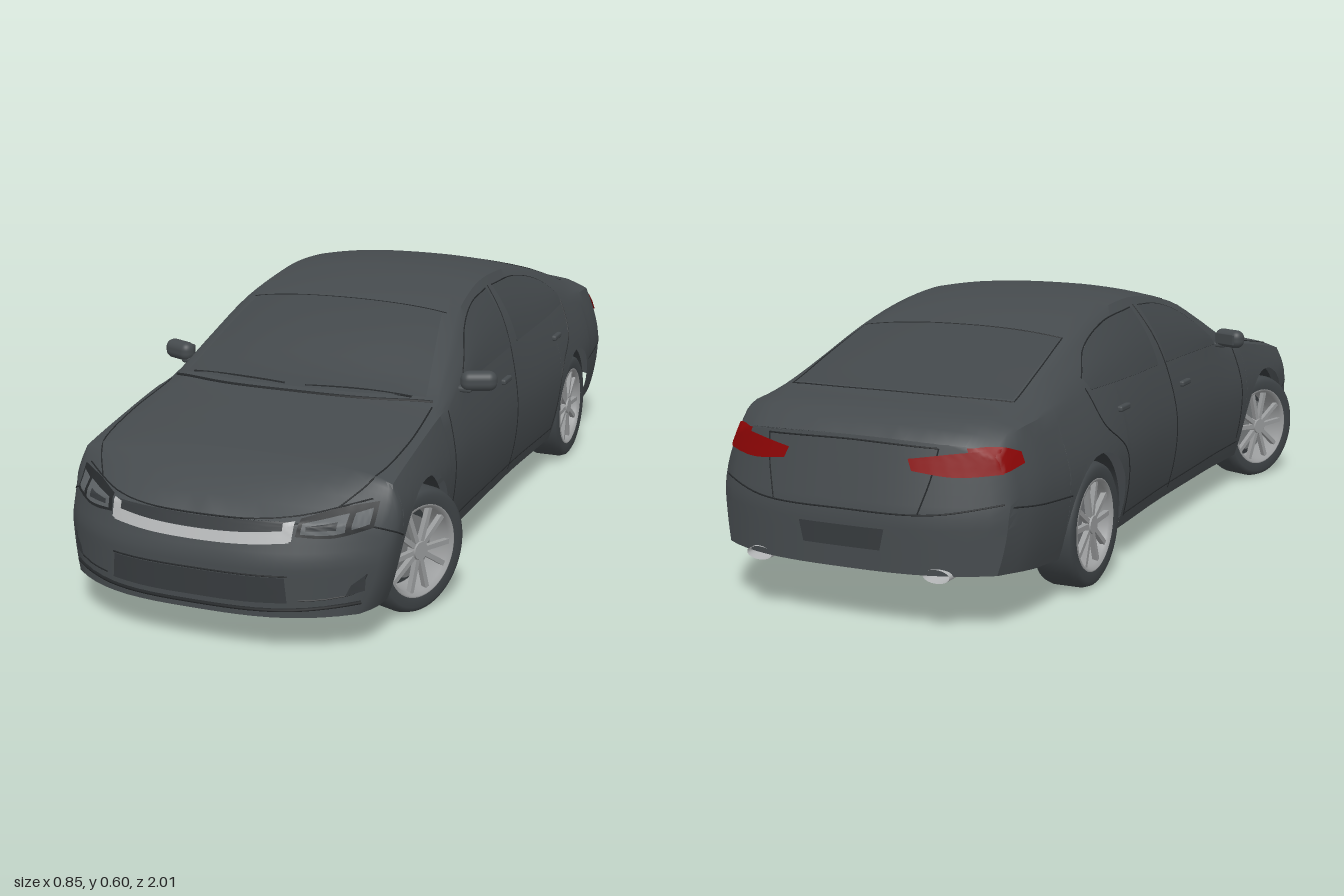
import * as THREE from 'three';
import { mergeGeometries, toCreasedNormals } from 'three/addons/utils/BufferGeometryUtils.js';
import { RoundedBoxGeometry } from 'three/addons/geometries/RoundedBoxGeometry.js';

const paint = (name, color) => new THREE.MeshStandardMaterial({ name, color, side: THREE.DoubleSide });
const M = {
  body: paint('body paint', 0x454a4d), glass: paint('dark glass', 0x42474a), tyre: paint('tyre rubber', 0x3f4447),
  seam: paint('seam black', 0x25282a), under: paint('underbody', 0x363a3d), rim: paint('rim silver', 0x9a9c9d),
  chrome: paint('chrome', 0xb4b6b7), metal: paint('exhaust metal', 0x76797b), red: paint('tail lamp red', 0x8a0505),
  lamp: paint('lamp grey', 0x5b6063),
};

// Body keys: z, widest half-width, shoulder y, shoulder x, roof rail y, roof rail x, centre y
const KEYS = [
  [1, .36, .255, .355, .275, .30, .285], [.95, .375, .28, .365, .30, .30, .318], [.9, .38, .305, .365, .325, .30, .342],
  [.8, .382, .335, .36, .35, .31, .37], [.65, .382, .365, .355, .378, .32, .395], [.5, .378, .39, .35, .40, .325, .42],
  [.43, .375, .395, .347, .418, .32, .44], [.3, .37, .405, .345, .48, .30, .515], [.17, .37, .41, .345, .54, .275, .568],
  [0, .37, .413, .345, .575, .258, .597], [-.12, .372, .415, .345, .582, .255, .603], [-.3, .38, .42, .348, .567, .255, .588],
  [-.45, .385, .425, .345, .535, .262, .553], [-.6, .382, .425, .335, .49, .27, .507], [-.77, .37, .415, .33, .437, .275, .452],
  [-.9, .36, .405, .32, .425, .26, .437], [-.95, .35, .39, .315, .41, .255, .422], [-1, .34, .36, .31, .385, .25, .395],
];
const SILL = [[1, .085], [.8, .08], [.47, .085], [-.38, .09], [-.69, .10], [-1, .125]];
const FRONT = .64, REAR = -.535, ARCH = .155, AXLE_Y = .14;
const { lerp, clamp } = THREE.MathUtils;

function sample(keys, z, c, smooth) {
  let i = 0;
  while (i < keys.length - 2 && z < keys[i + 1][0]) i++;
  const k = n => keys[clamp(n, 0, keys.length - 1)], a = k(i), b = k(i + 1);
  const h = b[0] - a[0], t = (z - a[0]) / h;
  if (!smooth) return lerp(a[c], b[c], t);
  const slope = n => (k(n + 1)[c] - k(n - 1)[c]) / (k(n + 1)[0] - k(n - 1)[0]);
  return (2 * t ** 3 - 3 * t * t + 1) * a[c] + (t ** 3 - 2 * t * t + t) * h * slope(i)
    + (3 * t * t - 2 * t ** 3) * b[c] + (t ** 3 - t * t) * h * slope(i + 1);
}

// Bow the ends in plan and lean them back above the bumpers
function warp(x, y, z) {
  const f = clamp((z - .8) / .2, 0, 1), r = clamp((-z - .8) / .2, 0, 1), q = (Math.abs(x) / .38) ** 3;
  return [x, y, z - f * (.15 * q + .35 * Math.max(0, y - .2)) + r * (.12 * q + .25 * Math.max(0, y - .24))];
}

// Half section from the bottom edge to the roof centre
function halfSection(z) {
  const [W, ys, ws, yr, wr, yt] = [1, 2, 3, 4, 5, 6].map(c => sample(KEYS, z, c, true));
  let yb = sample(SILL, z, 1);
  for (const c of [FRONT, REAR]) {
    const d = Math.abs(z - c);
    if (d < ARCH) yb = AXLE_Y + .007 + Math.sqrt(ARCH * ARCH - d * d);
  }
  const pts = [], yw = Math.min(.27, ys - .03);
  for (let i = 0; i <= 10; i++) {
    const y = lerp(yb, ys, i / 10);
    const x = y < yw ? W - .035 * ((yw - y) / (yw - .08)) ** 2 : lerp(W, ws, ((y - yw) / (ys - yw)) ** 1.6);
    pts.push([x, y]);
  }
  for (let i = 1; i <= 6; i++) {
    const t = i / 6;
    pts.push([lerp(ws, wr, t) + .012 * Math.sin(Math.PI * t) * clamp((yr - ys) / .1, 0, 1), lerp(ys, yr, t)]);
  }
  for (let i = 1; i <= 8; i++) {
    const s = 1 - i / 8;
    pts.push([wr * s, lerp(yt, yr, s ** 2.4)]);
  }
  return pts;
}

function gridGeometry(rows, flip = false) {
  const n = rows[0].length, idx = [], g = new THREE.BufferGeometry();
  for (let i = 0; i < rows.length - 1; i++) for (let j = 0; j < n - 1; j++) {
    const a = i * n + j, b = a + 1, c = a + n, d = c + 1;
    idx.push(...(flip ? [a, c, b, b, c, d] : [a, b, c, b, d, c]));
  }
  g.setAttribute('position', new THREE.Float32BufferAttribute(rows.flat(2), 3));
  g.setIndex(idx);
  g.computeVertexNormals();
  return g;
}

function bodyGeometry() {
  const zs = [];
  for (let i = 0; i <= 50; i++) zs.push(1 - i / 25);
  for (const c of [FRONT, REAR]) {
    zs.push(c + ARCH + .0005, c - ARCH - .0005);
    for (let i = 0; i <= 16; i++) zs.push(c + (ARCH - .0001) * Math.cos(Math.PI * i / 16));
  }
  zs.sort((a, b) => b - a);
  const shell = zs.map(z => {
    const h = halfSection(z);
    return [...h.map(([x, y]) => warp(-x, y, z)), ...h.slice(0, -1).reverse().map(([x, y]) => warp(x, y, z))];
  });
  const cap = z => halfSection(z).map(([x, y]) => Array.from({ length: 21 }, (_, k) => warp(x * (k / 10 - 1), y, z)));
  return toCreasedNormals(mergeGeometries([gridGeometry(shell), gridGeometry(cap(1)), gridGeometry(cap(-1), true)]), .7);
}

export function createModel() {
  const car = new THREE.Group();
  const add = (name, geo, mat, parent = car) => {
    const m = new THREE.Mesh(geo, mat);
    m.name = name;
    parent.add(m);
    return m;
  };
  const body = add('bodyShell', bodyGeometry(), M.body);
  body.updateMatrixWorld();

  // Drop a 2D point onto the body: x takes (z,y), y takes (x,z), z takes (x,y)
  const ray = new THREE.Raycaster();
  const project = (axis, sign, a, b, off) => {
    const o = axis === 'x' ? [0, b, a] : axis === 'y' ? [a, 0, b] : [a, b, 0];
    const p = new THREE.Vector3(...o), dir = new THREE.Vector3();
    p[axis] = sign * 3;
    dir[axis] = -sign;
    ray.set(p, dir);
    const hit = ray.intersectObject(body)[0];
    if (!hit) return null;
    hit.point[axis] += sign * off;
    return hit.point;
  };
  const curve2 = pts => new THREE.CatmullRomCurve3(pts.map(([a, b]) => new THREE.Vector3(a, b, 0)), false, 'centripetal');
  const seam = (name, axis, sign, pts, r = .0018, mat = M.seam) => {
    const on = curve2(pts).getPoints(20).map(p => project(axis, sign, p.x, p.y, 0)).filter(Boolean);
    if (on.length > 2) add(name, new THREE.TubeGeometry(new THREE.CatmullRomCurve3(on), 30, r, 5), mat);
  };
  const patch = (name, axis, sign, low, high, mat, off = .003, n = 18, m = 8) => {
    const A = curve2(low), B = curve2(high), rows = [];
    let last = new THREE.Vector3();
    for (let i = 0; i <= m; i++) rows.push(Array.from({ length: n + 1 }, (_, k) => {
      const p = A.getPoint(k / n).lerp(B.getPoint(k / n), i / m);
      last = project(axis, sign, p.x, p.y, off) || last;
      return last.toArray();
    }));
    add(name, gridGeometry(rows), mat);
  };
  const flipX = (pts, s) => pts.map(([x, y]) => [x * s, y]);
  const both = half => [...half.map(([x, b]) => [-x, b]), ...half.slice(0, -1).reverse()];

  // Windscreen, rear window, bonnet and boot lines
  patch('windscreen', 'y', 1, both([[.3, .44], [.16, .475], [0, .485]]), both([[.24, .17], [.12, .178], [0, .18]]), M.glass, .002);
  patch('rearWindow', 'y', 1, both([[.25, -.46], [.1, -.46], [0, -.46]]), both([[.265, -.74], [.13, -.765], [0, -.77]]), M.glass, .002);
  seam('windscreenTopSeam', 'y', 1, both([[.25, .165], [.1, .175], [0, .176]]));
  seam('rearWindowTopSeam', 'y', 1, both([[.25, -.455], [.1, -.455], [0, -.455]]));
  seam('rearWindowBaseSeam', 'y', 1, both([[.27, -.745], [.13, -.77], [0, -.775]]));
  seam('windscreenBaseSeam', 'y', 1, both([[.32, .45], [.16, .495], [0, .505]]), .004);
  seam('bonnetFrontSeam', 'z', 1, both([[.33, .312], [.2, .29], [0, .282]]));
  for (const s of [1, -1]) {
    seam('bonnetSideSeam', 'y', 1, flipX([[.325, .47], [.335, .65], [.32, .8], [.27, .89]], s));
    seam('rearWindowSideSeam', 'y', 1, flipX([[.25, -.455], [.262, -.6], [.27, -.745]], s));
    seam('wiper', 'y', 1, s > 0 ? [[.27, .45], [.15, .46], [.02, .475]] : [[-.03, .475], [-.15, .46], [-.28, .44]], .004);
  }

  // Front face: grille, chrome bar, intakes and lamps
  patch('upperGrille', 'z', 1, both([[.19, .262], [.1, .258], [0, .256]]), both([[.2, .283], [.1, .282], [0, .28]]), M.under, .003);
  patch('grilleBar', 'z', 1, both([[.2, .243], [.1, .236], [0, .234]]), both([[.205, .268], [.1, .259], [0, .256]]), M.chrome, .006);
  patch('lowerIntake', 'z', 1, both([[.2, .118], [.1, .116], [0, .116]]), both([[.195, .172], [.1, .172], [0, .172]]), M.under, .003);
  seam('intakeTop', 'z', 1, both([[.2, .174], [.1, .174], [0, .174]]));
  seam('bumperLip', 'z', 1, both([[.33, .11], [.2, .102], [0, .1]]), .004);
  for (const s of [1, -1]) {
    patch('grilleBarEnd', 'z', 1, flipX([[.185, .243], [.205, .247]], s), flipX([[.185, .282], [.207, .285]], s), M.chrome, .007);
    patch('headlight', 'z', 1, flipX([[.21, .255], [.28, .25], [.345, .262]], s), flipX([[.215, .288], [.28, .302], [.345, .308]], s), M.seam, .004);
    patch('headlightLens', 'z', 1, flipX([[.22, .26], [.28, .257], [.3, .26]], s), flipX([[.222, .281], [.28, .29], [.3, .293]], s), M.lamp, .007);
    patch('headlightBulb', 'z', 1, flipX([[.23, .267], [.285, .266]], s), flipX([[.23, .276], [.285, .281]], s), M.under, .009);
    patch('cornerLamp', 'z', 1, flipX([[.31, .264], [.338, .27]], s), flipX([[.31, .292], [.338, .298]], s), M.lamp, .007);
    patch('fogRecess', 'z', 1, flipX([[.305, .128], [.338, .135]], s), flipX([[.315, .15], [.338, .168]], s), M.under, .003);
    seam('fogTrim', 'z', 1, flipX([[.34, .17], [.325, .135], [.28, .125], [.22, .122]], s));
  }

  // Rear face: tail lamps, bumper line and plate recess
  seam('rearBumperSeam', 'z', -1, both([[.33, .27], [.2, .25], [0, .248]]));
  seam('bootLid', 'z', -1, both([[.2, .38], [.1, .384], [0, .386]]));
  patch('plateRecess', 'z', -1, both([[.09, .17], [0, .17]]), both([[.1, .215], [0, .215]]), M.under);
  for (const s of [1, -1]) {
    patch('tailLamp', 'z', -1, flipX([[.15, .335], [.24, .325], [.325, .33]], s), flipX([[.14, .358], [.24, .372], [.318, .378]], s), M.red, .004, 24);
    seam('bootSideSeam', 'z', -1, flipX([[.2, .38], [.19, .32], [.17, .25]], s));
    const tip = add('tailpipe', new THREE.CylinderGeometry(.018, .018, .08, 20, 1, true).rotateX(Math.PI / 2).scale(1.7, .8, 1), M.chrome);
    tip.position.set(.21 * s, .125, -.945);
  }

  // Doors, side windows, handles and mirrors
  for (const s of [1, -1]) {
    patch('tailLampSide', 'x', s, [[-.85, .345], [-.9, .333], [-.935, .33]], [[-.85, .368], [-.89, .382], [-.93, .382]], M.red, .004);
    const front = [[.3, .418], [.12, .422], [-.045, .425]], frontTop = [[.29, .44], [.17, .515], [.06, .55], [-.06, .562]];
    const rear = [[-.1, .426], [-.3, .43], [-.5, .435]], rearTop = [[-.105, .562], [-.28, .55], [-.44, .508], [-.515, .46]];
    patch('frontSideWindow', 'x', s, front, frontTop, M.glass);
    patch('rearSideWindow', 'x', s, rear, rearTop, M.glass);
    [front, frontTop, rear, rearTop].forEach(p => seam('windowFrame', 'x', s, p));
    seam('quarterLightPost', 'x', s, [[-.43, .433], [-.435, .47], [-.42, .515]]);
    seam('frontDoorSeam', 'x', s, [[.45, .14], [.445, .3], [.43, .39]]);
    seam('middleDoorSeam', 'x', s, [[-.035, .11], [-.035, .3], [-.05, .42], [-.082, .565]]);
    seam('rearDoorSeam', 'x', s, [[-.36, .12], [-.39, .28], [-.49, .36], [-.52, .44]]);
    seam('sillSeam', 'x', s, [[.46, .128], [.1, .124], [-.36, .124]]);
    seam('bumperSideSeam', 'x', s, [[-.68, .24], [-.8, .25], [-.9, .262]]);
    seam('noseSideSeam', 'x', s, [[.79, .225], [.84, .25], [.87, .265]]);
    for (const [z, y] of [[.04, .362], [-.375, .375]]) {
      const p = project('x', s, z, y, .004);
      add('doorHandle', new RoundedBoxGeometry(.014, .014, .055, 2, .005), M.body).position.copy(p);
    }
    const mirror = add('wingMirror', new RoundedBoxGeometry(.084, .046, .04, 4, .019), M.body);
    mirror.position.set(.382 * s, .433, .315);
    mirror.rotation.y = .4 * s;
    const glass = add('mirrorGlass', new RoundedBoxGeometry(.062, .03, .006, 2, .003), M.glass, mirror);
    glass.position.z = -.019;
    const stalk = add('mirrorStalk', new RoundedBoxGeometry(.05, .014, .026, 2, .006), M.body);
    stalk.position.set(.345 * s, .414, .325);
  }

  // Wheels, with the front pair steered
  const lathe = pts => new THREE.LatheGeometry(pts.map(([r, y]) => new THREE.Vector2(r, y)), 48);
  const tyreGeo = toCreasedNormals(lathe([[.102, -.046], [.125, -.05], [.135, -.044], [.14, -.03], [.14, .03], [.135, .044], [.125, .05], [.102, .046]]), .8);
  const rimGeo = lathe([[.092, -.045], [.088, 0], [.094, .038], [.1, .048], [.105, .046]]);
  const spokeGeo = new THREE.BoxGeometry(.082, .012, .011).translate(.055, 0, 0);
  for (const z of [FRONT, REAR]) for (const s of [1, -1]) {
    const wheel = new THREE.Group(), hub = new THREE.Group();
    wheel.name = z > 0 ? 'frontWheel' : 'rearWheel';
    wheel.position.set((z > 0 ? .33 : .32) * s, AXLE_Y, z);
    wheel.rotation.y = z > 0 ? -.38 : 0;
    hub.rotation.z = -s * Math.PI / 2;
    wheel.add(hub);
    car.add(wheel);
    add('tyre', tyreGeo, M.tyre, hub);
    add('rim', rimGeo, M.rim, hub);
    add('brakeDisc', new THREE.CylinderGeometry(.07, .07, .01, 32), M.metal, hub);
    add('wheelBack', new THREE.CylinderGeometry(.09, .09, .006, 32), M.under, hub).position.y = -.02;
    add('hubCap', new THREE.CylinderGeometry(.02, .024, .02, 20), M.rim, hub).position.y = .034;
    for (let i = 0; i < 10; i++) {
      const spoke = add('spoke', spokeGeo, M.rim, hub);
      spoke.position.y = .034;
      spoke.rotation.y = (Math.floor(i / 2) + (i % 2 ? .21 : -.21)) * Math.PI * 2 / 5;
    }
    // Arch liner and its inner wall
    const liner = new THREE.CylinderGeometry(ARCH, ARCH, .14, 24, 1, true, 0, Math.PI).rotateZ(Math.PI / 2);
    add('archLiner', liner, M.under).position.set(.29 * s, AXLE_Y + .006, z);
    const wall = add('archWall', new THREE.CircleGeometry(ARCH, 24, 0, Math.PI), M.under);
    wall.position.set(.22 * s, AXLE_Y + .006, z);
    wall.rotation.y = Math.PI / 2;
  }

  // Floor pan, cut away at the wheels and rising at the tail
  const edge = [[.2, .95], [.3, .87], [.33, .796], [.22, .796], [.22, .484], [.335, .484], [.335, -.379],
    [.22, -.379], [.22, -.691], [.33, -.691], [.29, -.88], [.2, -.94]];
  const outline = [...edge, ...edge.map(([x, z]) => [-x, z]).reverse()].map(p => new THREE.Vector2(...p));
  const floor = new THREE.ExtrudeGeometry(new THREE.Shape(outline), { depth: .008, bevelEnabled: false }).rotateX(Math.PI / 2);
  const fp = floor.attributes.position;
  for (let i = 0; i < fp.count; i++) fp.setY(i, fp.getY(i) + .102 + Math.max(0, -fp.getZ(i) - .69) * .1);
  floor.computeVertexNormals();
  add('floorPan', floor, M.under);

  // Axles and exhaust
  for (const z of [FRONT, REAR]) {
    add('axle', new THREE.CylinderGeometry(.014, .014, .58, 12).rotateZ(Math.PI / 2), M.metal).position.set(0, AXLE_Y - .02, z);
    add('subframe', new RoundedBoxGeometry(.3, .03, .07, 2, .01), M.metal).position.set(0, .103, z);
  }
  const pipe = pts => new THREE.TubeGeometry(new THREE.CatmullRomCurve3(pts.map(p => new THREE.Vector3(...p))), 40, .011, 10);
  for (const s of [1, -1]) {
    add('exhaustPipe', pipe([[.02 * s, .096, .55], [.02 * s, .09, .2], [.02 * s, .09, -.45], [.06 * s, .095, -.65], [.19 * s, .108, -.74], [.21 * s, .12, -.93]]), M.metal);
    add('silencer', new THREE.CapsuleGeometry(.028, .08, 6, 16).rotateX(Math.PI / 2).scale(1.4, .8, 1), M.metal).position.set(.2 * s, .112, -.8);
  }
  return car;
}
